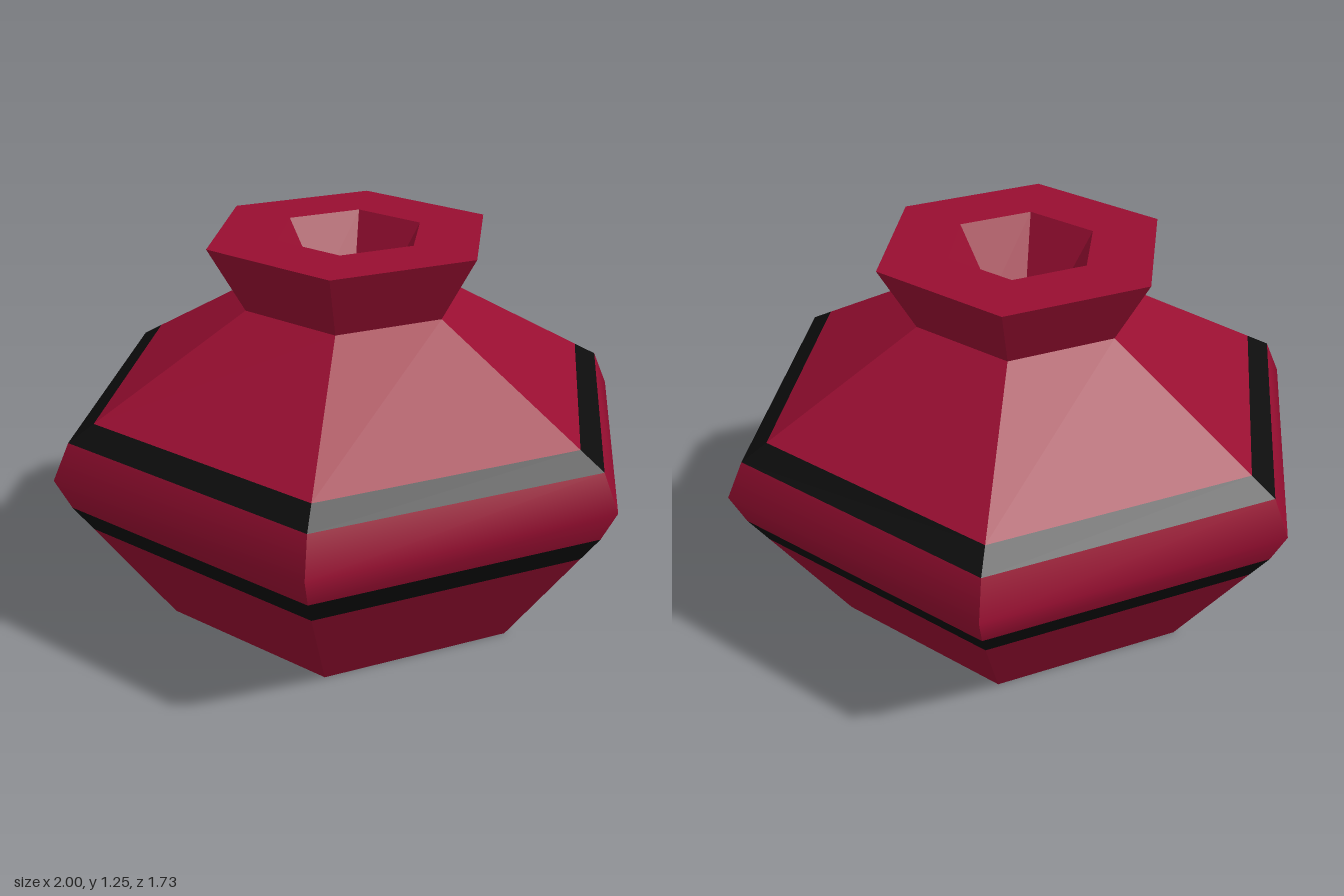
import * as THREE from 'three';
import { mergeGeometries } from 'three/addons/utils/BufferGeometryUtils.js';

const SIDES = 6;

// Sweeps a [radius, height] profile round six flat sides: smooth along the profile, hard at the corners.
function hexRing(profile) {
  const sides = [];
  for (let s = 0; s < SIDES; s++) {
    const positions = [];
    const index = [];
    profile.forEach(([r, y], i) => {
      for (const k of [s, s + 1]) {
        const t = (k / SIDES) * Math.PI * 2;
        positions.push(r * Math.cos(t), y, -r * Math.sin(t));
      }
      if (i > 0) {
        const a = 2 * (i - 1);
        index.push(a, a + 1, a + 3, a, a + 3, a + 2);
      }
    });
    const g = new THREE.BufferGeometry();
    g.setAttribute('position', new THREE.Float32BufferAttribute(positions, 3));
    g.setIndex(index);
    g.computeVertexNormals();
    sides.push(g);
  }
  return mergeGeometries(sides);
}

// Same sweep, with a hard edge at every profile point.
function facetedRing(profile) {
  return mergeGeometries(profile.slice(1).map((p, i) => hexRing([profile[i], p])));
}

export function createModel() {
  const crimson = new THREE.MeshStandardMaterial({ color: 0x980e31 });
  crimson.name = 'crimson glaze';
  const black = new THREE.MeshStandardMaterial({ color: 0x0c0c0c });
  black.name = 'black glaze';

  const pot = new THREE.Group();
  pot.name = 'hexagonalPot';
  const add = (name, geometry, material) => {
    const mesh = new THREE.Mesh(geometry, material);
    mesh.name = name;
    pot.add(mesh);
  };

  // Outer wall, from the foot upwards
  add('base', facetedRing([[0, 0], [0.635, 0], [0.888, 0.37]]), crimson);
  add('lowerBand', facetedRing([[0.888, 0.37], [0.95, 0.46]]), black);
  add('belly', hexRing([[0.95, 0.46], [1, 0.565], [0.945, 0.685]]), crimson);
  add('upperBand', facetedRing([[0.945, 0.685], [0.861, 0.735]]), black);
  add('shoulder', facetedRing([[0.861, 0.735], [0.355, 1.035]]), crimson);
  add('neck', facetedRing([[0.355, 1.035], [0.475, 1.25]]), crimson);

  // Thick rim, tapering mouth and hollow inside
  add('rim', facetedRing([[0.475, 1.25], [0.245, 1.25]]), crimson);
  add('mouth', facetedRing([[0.245, 1.25], [0.12, 1.035]]), crimson);
  add('interior', facetedRing([[0.12, 1.035], [0.7, 0.66], [0.75, 0.565], [0.45, 0.12], [0, 0.12]]), crimson);

  return pot;
}
